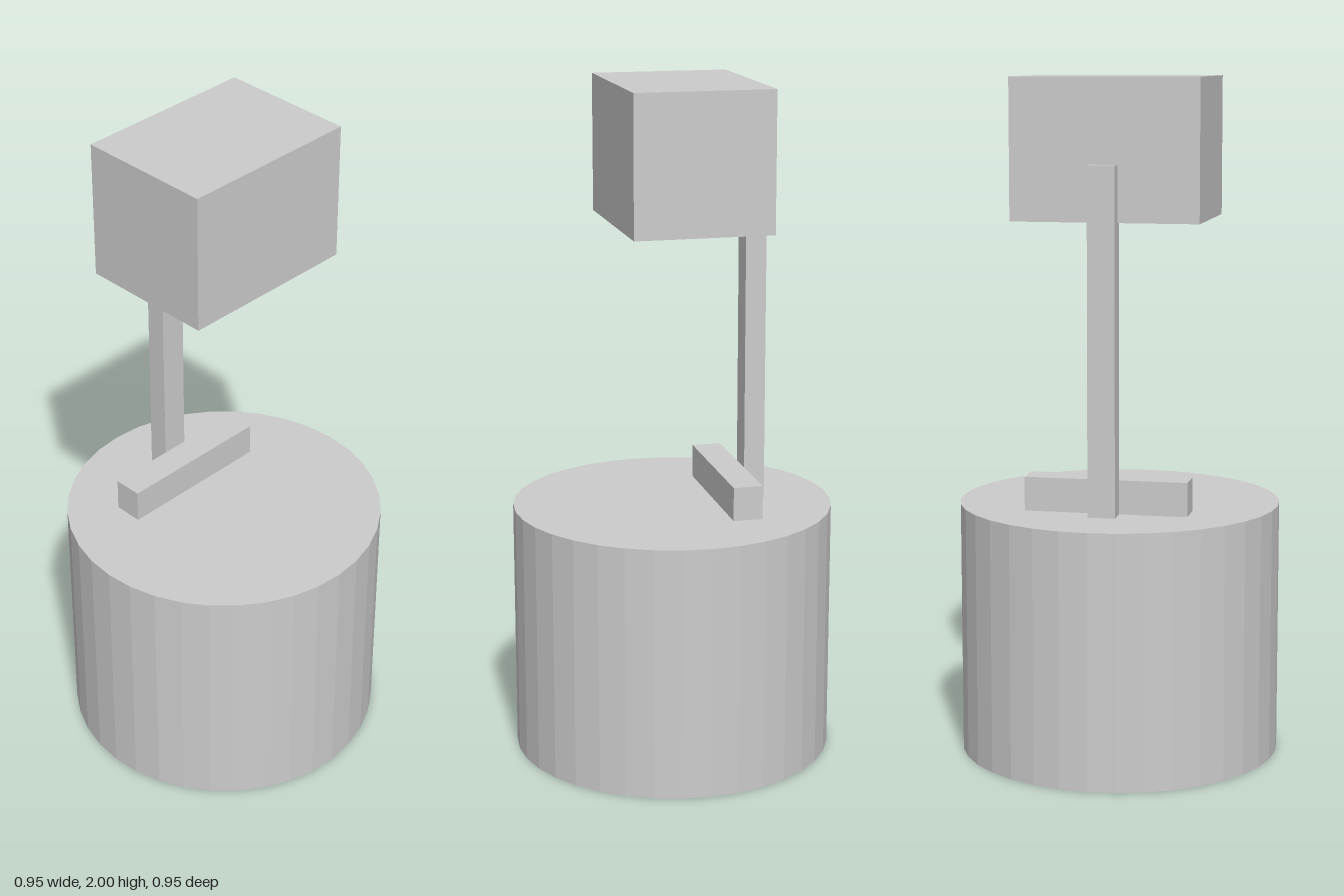
import * as THREE from 'three';

export function createModel() {
  const group = new THREE.Group();
  const material = new THREE.MeshStandardMaterial({ color: 0xcccccc, flatShading: true });

  const add = (name, geometry, x, y, z) => {
    const mesh = new THREE.Mesh(geometry, material);
    mesh.name = name;
    mesh.position.set(x, y, z);
    group.add(mesh);
  };
  // Box given by its x and y limits and its depth, centred on z = 0
  const addBox = (name, x0, x1, y0, y1, depth) =>
    add(name, new THREE.BoxGeometry(x1 - x0, y1 - y0, depth), (x0 + x1) / 2, (y0 + y1) / 2, 0);

  // Round base
  add('base', new THREE.CylinderGeometry(0.475, 0.475, 0.75, 36), 0, 0.375, 0);

  // Low bar lying on the base, beside the post
  addBox('bar', -0.212, -0.125, 0.75, 0.85, 0.48);

  // Upright post, sunk slightly into the head
  addBox('post', -0.274, -0.212, 0.75, 1.755, 0.08);

  // Box head carried by the post
  addBox('head', -0.232, 0.176, 1.592, 2, 0.548);

  return group;
}
